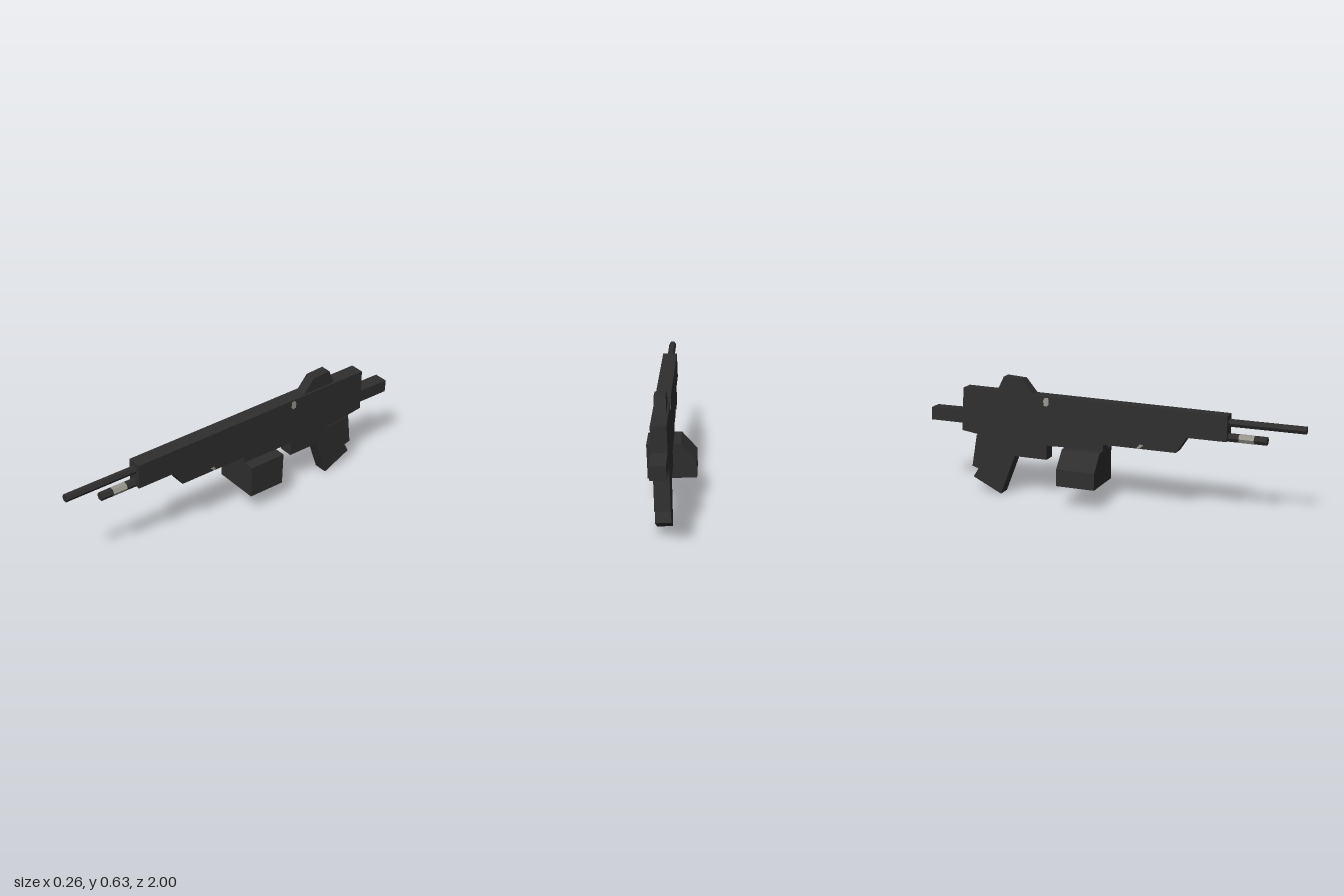
import * as THREE from 'three';

const dark = new THREE.MeshStandardMaterial({ color: 0x2e2e2e });
dark.name = 'dark gunmetal';
dark.flatShading = true;
const pale = new THREE.MeshStandardMaterial({ color: 0x99968c });
pale.name = 'worn steel';
pale.flatShading = true;

const shapeOf = (pts) => new THREE.Shape(pts.map(([a, b]) => new THREE.Vector2(a, b)));

// Side profile of [z, y] points, given a width along x
function slab(name, pts, width, material = dark) {
  const geo = new THREE.ExtrudeGeometry(shapeOf(pts), { depth: width, bevelEnabled: false });
  geo.translate(0, 0, -width / 2).rotateY(-Math.PI / 2);
  const mesh = new THREE.Mesh(geo, material);
  mesh.name = name;
  return mesh;
}

// Six-sided rod along z
function rod(name, y, z0, z1, radius, material = dark) {
  const geo = new THREE.CylinderGeometry(radius, radius, z1 - z0, 6);
  geo.rotateY(Math.PI / 2).rotateX(Math.PI / 2);
  const mesh = new THREE.Mesh(geo, material);
  mesh.name = name;
  mesh.position.set(0, y, (z0 + z1) / 2);
  return mesh;
}

export function createModel() {
  const model = new THREE.Group();
  model.name = 'rifle';
  const tilted = new THREE.Group();
  tilted.name = 'tiltedRifle';
  model.add(tilted);

  const W = 0.075;

  // Receiver with stepped fore-end
  tilted.add(slab('receiver', [
    [0.614, 0.545], [-0.812, 0.557], [-0.822, 0.327], [-0.62, 0.3], [-0.34, 0.294],
    [-0.03, 0.299], [-0.03, 0.332], [0.357, 0.332], [0.41, 0.415], [0.614, 0.415],
  ], W));

  // Rear stock stub
  tilted.add(slab('stock', [[-0.8, 0.436], [-1, 0.434], [-1, 0.367], [-0.8, 0.367]], W));

  // Raised sight
  tilted.add(slab('sight', [
    [-0.415, 0.55], [-0.48, 0.628], [-0.585, 0.634], [-0.625, 0.55],
  ], 0.056));

  // Trigger block and raked grip with a notched back
  tilted.add(slab('triggerBlock', [[-0.34, 0.3], [-0.34, 0.218], [-0.53, 0.218], [-0.56, 0.305]], W));
  tilted.add(slab('grip', [
    [-0.5, 0.302], [-0.52, 0.218], [-0.6, 0.004], [-0.758, 0.08],
    [-0.73, 0.128], [-0.765, 0.138], [-0.738, 0.311], [-0.61, 0.295],
  ], W));

  // Offset magazine with one sloping corner
  const magazine = new THREE.Mesh(
    new THREE.ExtrudeGeometry(shapeOf([
      [-0.148, 0.119], [0.096, 0.119], [0.096, 0.295], [-0.074, 0.295], [-0.148, 0.208],
    ]), { depth: 0.206, bevelEnabled: false }), dark);
  magazine.name = 'magazine';
  magazine.position.z = -0.24;
  tilted.add(magazine);

  // Barrel, and the tube below it with a bare steel band
  tilted.add(rod('barrel', 0.505, 0.6, 1, 0.02));
  tilted.add(rod('lowerTube', 0.431, 0.4, 0.81, 0.022));
  tilted.add(rod('steelBand', 0.431, 0.668, 0.745, 0.0228, pale));

  // Small steel chips on both sides
  for (const side of [-1, 1]) {
    const chips = [
      slab('upperChip', [[-0.332, 0.545], [-0.33, 0.512], [-0.34, 0.5], [-0.358, 0.503], [-0.36, 0.53], [-0.352, 0.545]], 0.002, pale),
      slab('lowerChip', [[0.185, 0.352], [0.165, 0.355], [0.15, 0.336], [0.165, 0.333]], 0.002, pale),
    ];
    for (const chip of chips) {
      chip.position.x = side * W / 2;
      tilted.add(chip);
    }
  }

  // The whole piece leans and turns slightly
  tilted.rotation.set(0, 0.058, -0.04, 'ZYX');
  tilted.position.x = 0.025;
  return model;
}
